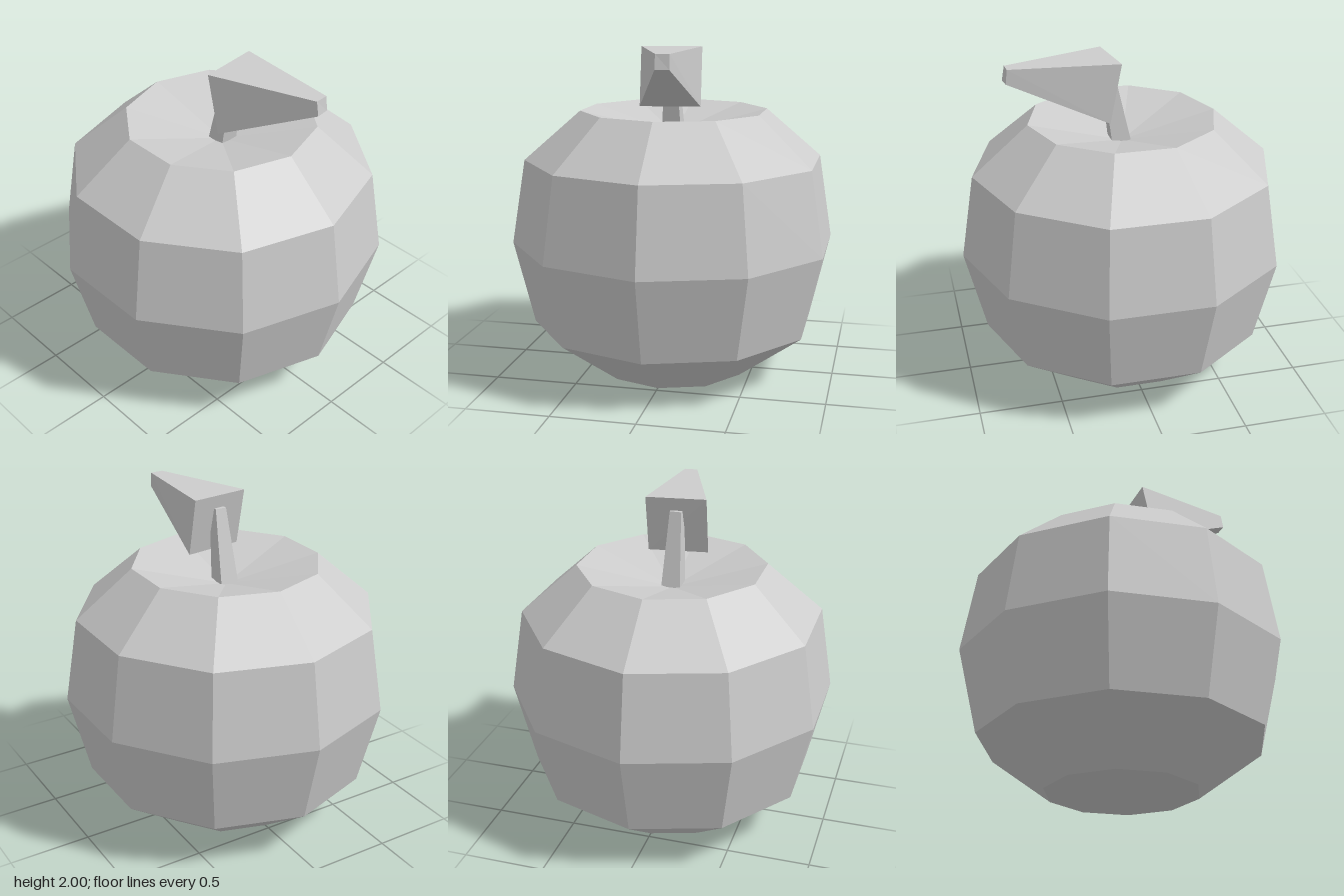
import * as THREE from 'three';

// Six-faced block between two quads, each listed counter-clockwise as seen from the end side
function loft(start, end) {
  const geometry = new THREE.BufferGeometry();
  const index = [4, 5, 6, 4, 6, 7, 0, 2, 1, 0, 3, 2]; // end cap, start cap
  for (let i = 0; i < 4; i++) {
    const j = (i + 1) % 4;
    index.push(i, j, j + 4, i, j + 4, i + 4);
  }
  geometry.setAttribute('position', new THREE.Float32BufferAttribute([...start, ...end].flat(), 3));
  geometry.setIndex(index);
  const flat = geometry.toNonIndexed();
  flat.computeVertexNormals();
  return flat;
}

// Level quad for the stem, counter-clockwise from above
function levelQuad(x0, x1, y, z) {
  return [[x1, y, z], [x1, y, -z], [x0, y, -z], [x0, y, z]];
}

export function createModel() {
  const group = new THREE.Group();
  group.name = 'apple';

  const grey = new THREE.MeshStandardMaterial({ color: 0xcccccc, flatShading: true });
  grey.name = 'light grey';

  const add = (name, geometry) => {
    const mesh = new THREE.Mesh(geometry, grey);
    mesh.name = name;
    group.add(mesh);
  };

  // Ten-sided fruit with a dimple at the bottom and the top
  const profile = [
    [0, 0.12], [0.465, 0], [0.87, 0.3], [0.993, 0.81],
    [0.91, 1.32], [0.57, 1.615], [0, 1.47],
  ].map(([r, y]) => new THREE.Vector2(r, y));
  add('fruit', new THREE.LatheGeometry(profile, 10, Math.PI / 2));

  // Leaning, tapered square stem
  add('stem', loft(levelQuad(-0.05, 0.07, 1.44, 0.06), levelQuad(0.06, 0.13, 1.92, 0.035)));

  // Thick wedge-shaped leaf narrowing to a small tip
  add('leaf', loft(
    [[0.115, 1.65, -0.185], [0.045, 2, -0.18], [0.09, 2, 0.18], [0.165, 1.65, 0.175]],
    [[0.7, 1.915, -0.125], [0.69, 2, -0.125], [0.695, 2, -0.045], [0.71, 1.915, -0.045]],
  ));

  return group;
}
